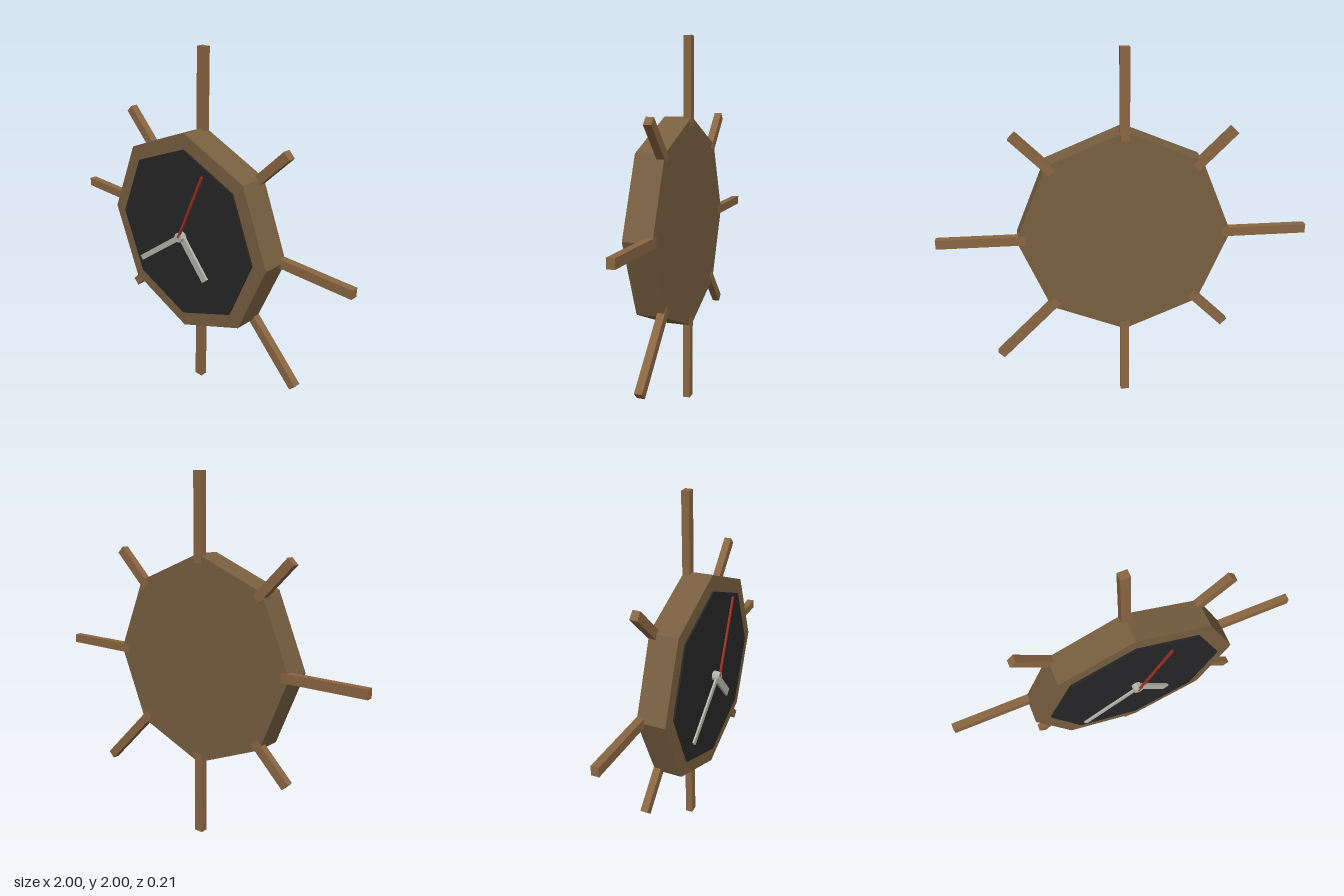
import * as THREE from 'three';

export function createModel() {
  const root = new THREE.Group();
  root.name = 'wallClock';
  const clock = new THREE.Group();
  clock.name = 'clock';
  clock.position.y = 1;
  root.add(clock);

  const mat = (color) => new THREE.MeshStandardMaterial({ color, flatShading: true });
  const bodyWood = mat(0x785f40);
  const spokeWood = mat(0x8a6642);
  const black = mat(0x262628);
  const metal = mat(0xb4b4ac);
  const red = mat(0xa03020);

  // Upright prism with a corner at the top, spanning z0..z1
  function prism(name, radius, z0, z1, material) {
    const geo = new THREE.CylinderGeometry(radius, radius, z1 - z0, 8);
    geo.rotateX(Math.PI / 2);
    const mesh = new THREE.Mesh(geo, material);
    mesh.name = name;
    mesh.position.z = (z0 + z1) / 2;
    clock.add(mesh);
  }

  // Radial bar from r0 to r1 at an angle (counterclockwise from +x), spanning z0..z1
  function bar(name, angle, r0, r1, width, z0, z1, material) {
    const geo = new THREE.BoxGeometry(r1 - r0, width, z1 - z0);
    geo.translate((r0 + r1) / 2, 0, (z0 + z1) / 2);
    const mesh = new THREE.Mesh(geo, material);
    mesh.name = name;
    mesh.rotation.z = angle;
    clock.add(mesh);
  }

  // Octagonal case and dial
  prism('case', 0.58, -0.103, 0.053, bodyWood);
  prism('dial', 0.494, 0.053, 0.063, black);

  // Spokes every 45 degrees; three of the diagonals are shorter
  const reach = [1, 0.81, 1, 0.81, 1, 0.81, 1, 1];
  reach.forEach((r, i) =>
    bar('spoke' + (i + 1), (i * Math.PI) / 4, 0.53, r, 0.05, -0.105, -0.064, spokeWood));

  // Hands, stacked outward from the dial
  const aim = (x, y) => Math.atan2(y, x);
  bar('hourHand', aim(0.183, -0.207), 0, 0.276, 0.045, 0.068, 0.081, metal);
  bar('minuteHand', aim(-0.322, -0.245), 0, 0.405, 0.03, 0.082, 0.092, metal);
  bar('secondHand', aim(0.178, 0.402), 0, 0.44, 0.011, 0.094, 0.105, red);
  prism('hub', 0.027, 0.063, 0.103, metal);

  return root;
}
